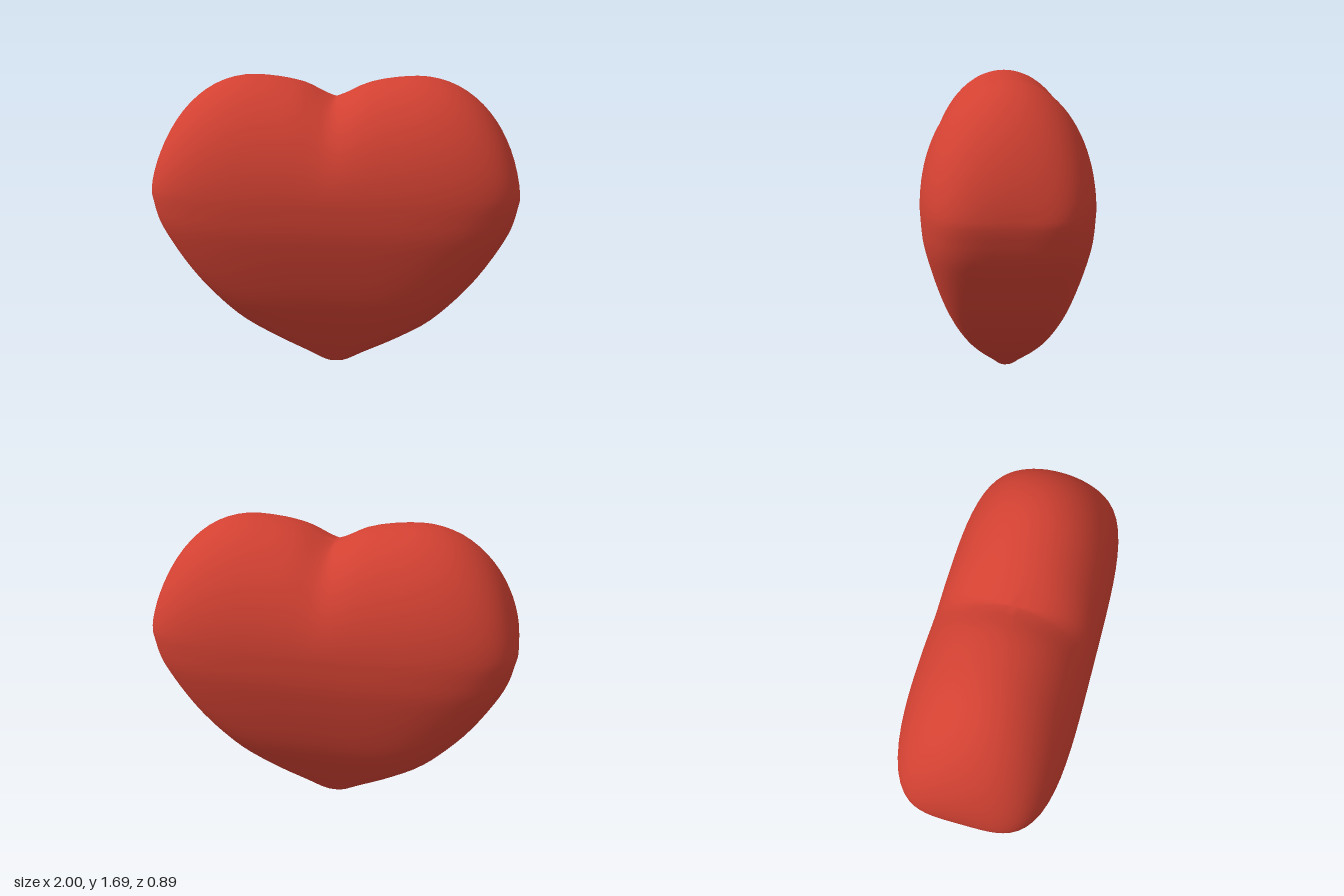
import * as THREE from 'three';
import { mergeVertices } from 'three/addons/utils/BufferGeometryUtils.js';

const SEGMENTS = 96, LOWER = 28, UPPER = 24;
const WAIST = 1.07, DEPTH = 0.445;

// Lower body: half width, height and half depth from the tip up to the waist.
const taper = new THREE.CatmullRomCurve3([
  [0, 0, 0], [0.05, 0.012, 0.03], [0.19, 0.1, 0.1], [0.37, 0.21, 0.178], [0.55, 0.335, 0.25],
  [0.68, 0.47, 0.315], [0.8, 0.62, 0.365], [0.91, 0.8, 0.412], [0.97, 0.93, 0.437], [1, WAIST, DEPTH],
].map(p => new THREE.Vector3(...p)));

// Upper outline: height at equal angles from the side to the notch.
const lobe = new THREE.SplineCurve(
  [WAIST, 1.19, 1.325, 1.455, 1.565, 1.645, 1.685, 1.682, 1.65, 1.575]
    .map((y, i) => new THREE.Vector2(i, y)));

const crest = x => lobe.getPoint(Math.acos(Math.min(1, Math.abs(x))) / (Math.PI / 2)).y;

// Point on the rounded-square section shared by all levels.
function section(i) {
  const a = i / SEGMENTS * Math.PI * 2, c = Math.cos(a), s = Math.sin(a);
  const r = 1 / Math.pow(c ** 4 + s ** 4, 0.25);
  return [c * r, s * r];
}

// Height of the double dome above a point of the waist section.
function domeHeight(x, z) {
  const edge = Math.pow(Math.max(0, 1 - x ** 4), 0.25);
  const ratio = edge > 1e-4 ? Math.min(1, Math.abs(z) / edge) : 0;
  return WAIST + (crest(x) - WAIST) * Math.sqrt(1 - ratio * ratio);
}

function heartGeometry() {
  const positions = [], index = [];
  // Tapering sections from tip to waist
  for (let j = 0; j <= LOWER; j++) {
    const p = taper.getPoint(j / LOWER);
    for (let i = 0; i < SEGMENTS; i++) {
      const [x, z] = section(i);
      positions.push(x * p.x, p.y, z * p.z);
    }
  }
  // Two lobes closing toward the notch
  for (let j = 1; j <= UPPER; j++) {
    const k = j === UPPER ? 0 : Math.cos(j / UPPER * Math.PI / 2);
    for (let i = 0; i < SEGMENTS; i++) {
      const [x, z] = section(i);
      positions.push(x * k, domeHeight(x * k, z * k), z * k * DEPTH);
    }
  }
  for (let j = 0; j < LOWER + UPPER; j++) {
    for (let i = 0; i < SEGMENTS; i++) {
      const n = (i + 1) % SEGMENTS;
      const a = j * SEGMENTS + i, b = j * SEGMENTS + n, c = a + SEGMENTS, d = b + SEGMENTS;
      if (j > 0) index.push(a, c, b);
      if (j < LOWER + UPPER - 1) index.push(b, c, d);
      else if (j === 0) index.push(b, c, d);
    }
  }
  let geometry = new THREE.BufferGeometry();
  geometry.setAttribute('position', new THREE.Float32BufferAttribute(positions, 3));
  geometry.setIndex(index);
  geometry = mergeVertices(geometry, 1e-5);
  geometry.computeVertexNormals();
  return geometry;
}

export function createModel() {
  const red = new THREE.MeshStandardMaterial({ color: 0xd24132 });
  red.name = 'red';
  const heart = new THREE.Mesh(heartGeometry(), red);
  heart.name = 'heart';
  const model = new THREE.Group();
  model.name = 'heartModel';
  model.add(heart);
  return model;
}
